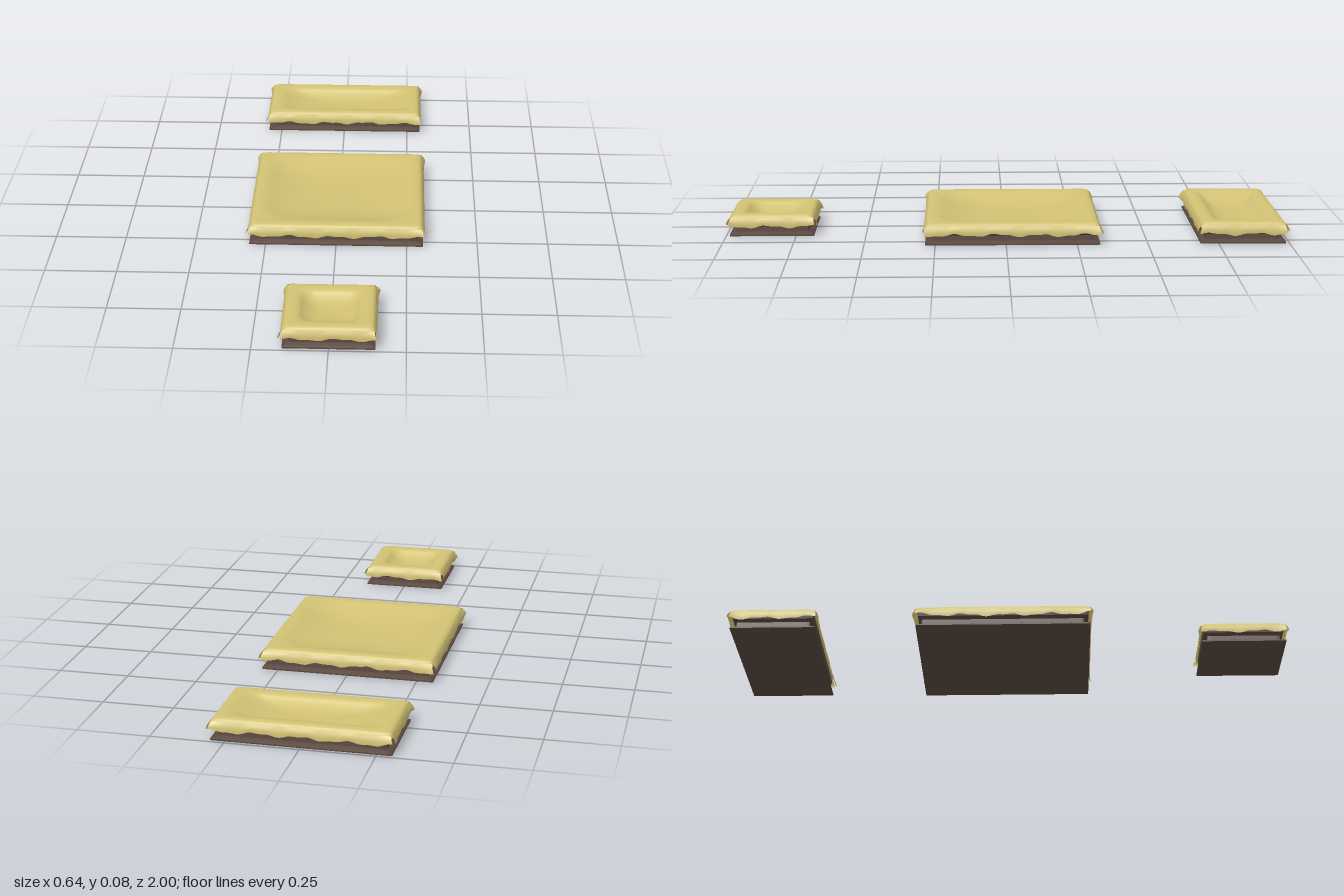
import * as THREE from 'three';
import { toCreasedNormals } from 'three/addons/utils/BufferGeometryUtils.js';

const sand = new THREE.MeshStandardMaterial({ color: 0xd2c274, side: THREE.DoubleSide });
sand.name = 'sand yellow';
const earth = new THREE.MeshStandardMaterial({ color: 0x5a483f, side: THREE.DoubleSide });
earth.name = 'earth brown';

const SIDE = 24; // points along each side of a ring
const clamp = THREE.MathUtils.clamp;

// One rounded rectangle, walked from +x towards +z
function ringPoints(a, b, y, r) {
  const points = [];
  r = Math.min(r, a, b);
  for (let k = 0; k < 4; k++) {
    for (let i = 0; i < SIDE; i++) {
      const s = Math.sin((i / SIDE * 2 - 1) * Math.PI / 2); // denser at the corners
      const [sx, sz] = [[1, s], [-s, 1], [-1, -s], [s, -1]][k];
      const cx = clamp(sx * a, -(a - r), a - r);
      const cz = clamp(sz * b, -(b - r), b - r);
      let dx = sx * a - cx, dz = sz * b - cz;
      if (dx !== 0 && dz !== 0) {
        const m = r / Math.hypot(dx, dz);
        dx *= m;
        dz *= m;
      }
      points.push(cx + dx, y, cz + dz);
    }
  }
  return points;
}

// Skin a list of rings [halfX, halfZ, y, cornerRadius]
function loft(rings) {
  const n = SIDE * 4, position = [], index = [];
  rings.forEach((ring) => position.push(...ringPoints(...ring)));
  for (let i = 0; i < rings.length - 1; i++) {
    for (let j = 0; j < n; j++) {
      const a = i * n + j, b = i * n + (j + 1) % n;
      index.push(a, a + n, b, b, a + n, b + n);
    }
  }
  const geometry = new THREE.BufferGeometry();
  geometry.setAttribute('position', new THREE.Float32BufferAttribute(position, 3));
  geometry.setIndex(index);
  geometry.computeVertexNormals();
  return geometry;
}

// Plinth with a flared foot and a shoulder under the cap
function makeBase(a, b) {
  const rings = [[0, 0, 0, 0]];
  const profile = [[0, 0], [0, 0.005], [0.008, 0.009], [0.02, 0.013], [0.021, 0.031], [0.008, 0.039], [0.006, 0.056]];
  for (const [inset, y] of profile) rings.push([a - inset, b - inset, y, 0.003]);
  const mesh = new THREE.Mesh(toCreasedNormals(loft(rings), 0.5), earth);
  mesh.name = 'base';
  return mesh;
}

// Rounded rim running into a hollow top
function makeCap(a, b) {
  const rings = [];
  const profile = [[0, 0.056, 0.012], [0.001, 0.064, 0.012], [0.005, 0.071, 0.014], [0.013, 0.0755, 0.016],
    [0.025, 0.0765, 0.02], [0.038, 0.0758, 0.03]];
  for (const [inset, y, r] of profile) rings.push([a - inset, b - inset, y, r]);
  const da = a - 0.05, db = b - 0.05, small = Math.min(da, db);
  for (let i = 0; i <= 14; i++) {
    const t = 1 - i / 14;
    rings.push([da * t, db * t, 0.042 + 0.032 * t ** 3, small * t * 0.4]);
  }
  const mesh = new THREE.Mesh(loft(rings), sand);
  mesh.name = 'cap';
  return mesh;
}

// Ragged flap hanging from one edge of the cap, facing +z
function makeFlap(halfLength, distance, seed) {
  const geometry = new THREE.PlaneGeometry(2, 1, Math.round(halfLength * 240), 4);
  const p = geometry.attributes.position;
  for (let i = 0; i < p.count; i++) {
    const u = p.getX(i), v = 0.5 - p.getY(i), x = u * halfLength;
    const wave = 0.004 * Math.sin(x * 42 + seed) + 0.002 * Math.sin(x * 97 + seed * 2.3);
    const ragged = 0.0012 * Math.sin(x * 740 + seed * 5);
    const corner = Math.abs(u) ** 8;
    const bottom = 0.036 + wave + ragged + 0.004 * corner;
    p.setXYZ(i,
      u * (halfLength - 0.004 + 0.008 * v),
      THREE.MathUtils.lerp(0.067, bottom, v),
      distance - 0.002 + v * (0.007 + 0.007 * corner) + 0.003 * Math.sin(v * Math.PI));
  }
  geometry.computeVertexNormals();
  return new THREE.Mesh(geometry, sand);
}

function makeSlab(name, a, b, z, seed) {
  const slab = new THREE.Group();
  slab.name = name;
  slab.position.z = z;
  slab.add(makeBase(a, b), makeCap(a, b));
  for (let k = 0; k < 4; k++) {
    const flap = k % 2 ? makeFlap(b, a, seed + k * 1.7) : makeFlap(a, b, seed + k * 1.7);
    flap.name = ['frontFlap', 'leftFlap', 'backFlap', 'rightFlap'][k];
    flap.rotation.y = k * Math.PI / 2;
    slab.add(flap);
  }
  return slab;
}

export function createModel() {
  const model = new THREE.Group();
  model.name = 'hollowSlabs';
  model.add(
    makeSlab('smallSlab', 0.151, 0.151, 0.837, 0.4),
    makeSlab('largeSlab', 0.308, 0.308, -0.023, 2.1),
    makeSlab('longSlab', 0.3, 0.151, -0.837, 4.3),
  );
  return model;
}
